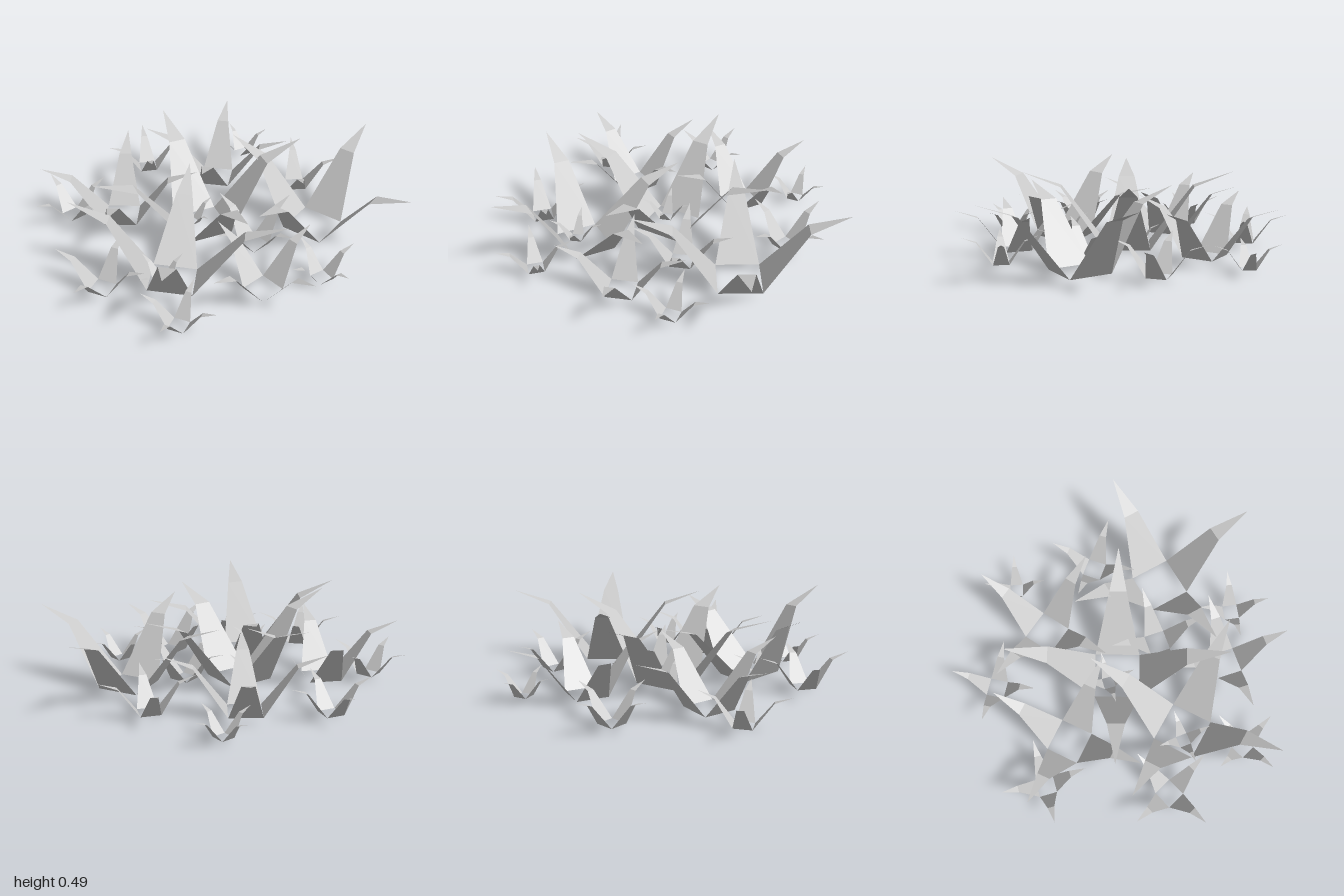
import * as THREE from 'three';

const material = new THREE.MeshStandardMaterial({ color: 0xcccccc, flatShading: true, side: THREE.DoubleSide });

// One folded blade leaning out along +x: tapered lower panel and pointed tip
function bladeGeometry() {
  const half = 0.122, midHalf = 0.046;
  const geometry = new THREE.BufferGeometry();
  geometry.setAttribute('position', new THREE.Float32BufferAttribute([
    half, 0, half,
    half, 0, -half,
    0.36, 0.33, -midHalf,
    0.36, 0.33, midHalf,
    0.58, 0.41, 0,
  ], 3));
  geometry.setIndex([0, 1, 2, 0, 2, 3, 3, 2, 4]);
  const flat = geometry.toNonIndexed();
  flat.computeVertexNormals();
  return flat;
}

// Four blades standing on the sides of an open square
function makeTuft(geometry) {
  const tuft = new THREE.Group();
  tuft.name = 'grassTuft';
  for (let i = 0; i < 4; i++) {
    const blade = new THREE.Mesh(geometry, material);
    blade.name = 'grassBlade';
    blade.rotation.y = i * Math.PI / 2;
    tuft.add(blade);
  }
  return tuft;
}

// Tuft placement: x, y, z, scale, turn, lean towards +x, lean towards -z
const tufts = [
  [-0.10, 0.04, -0.02, 1.08, 0],
  [-0.43, 0.035, 0.365, 1.0, -0.49, 0.12, 0.05],
  [0.495, 0.04, 0.235, 1.0, 0.534],
  [-0.505, 0.04, -0.29, 0.78, -0.436],
  [0.168, 0.04, -0.45, 0.76, 0.996],
  [-0.013, 0.04, 0.627, 0.61, 0.34],
  [0.595, 0.04, -0.173, 0.455, -0.33],
  [0.445, 0.04, -0.65, 0.31, 0.08],
  [-0.19, 0.04, -0.73, 0.42, -0.2],
  [-0.766, 0.04, -0.414, 0.41, 0.3],
  [-0.80, 0.04, 0.286, 0.455, 0.785],
  [-0.49, 0.04, 0.37, 0.27, 0.39],
  [-0.525, 0.04, 0.71, 0.36, 0.785],
  [0.318, 0.04, 0.67, 0.36, 0.156],
  [0.125, 0.005, 0.22, 0.5, 0.345],
  [-0.145, 0.04, -0.07, 0.27, 0.3],
];

export function createModel() {
  const model = new THREE.Group();
  model.name = 'grassPatch';
  const geometry = bladeGeometry();
  for (const [x, y, z, scale, turn, leanX = 0, leanZ = 0] of tufts) {
    const tuft = makeTuft(geometry);
    tuft.position.set(x, y, z);
    tuft.scale.setScalar(scale);
    tuft.rotation.set(-leanZ, turn, -leanX, 'ZXY');
    model.add(tuft);
  }
  return model;
}
